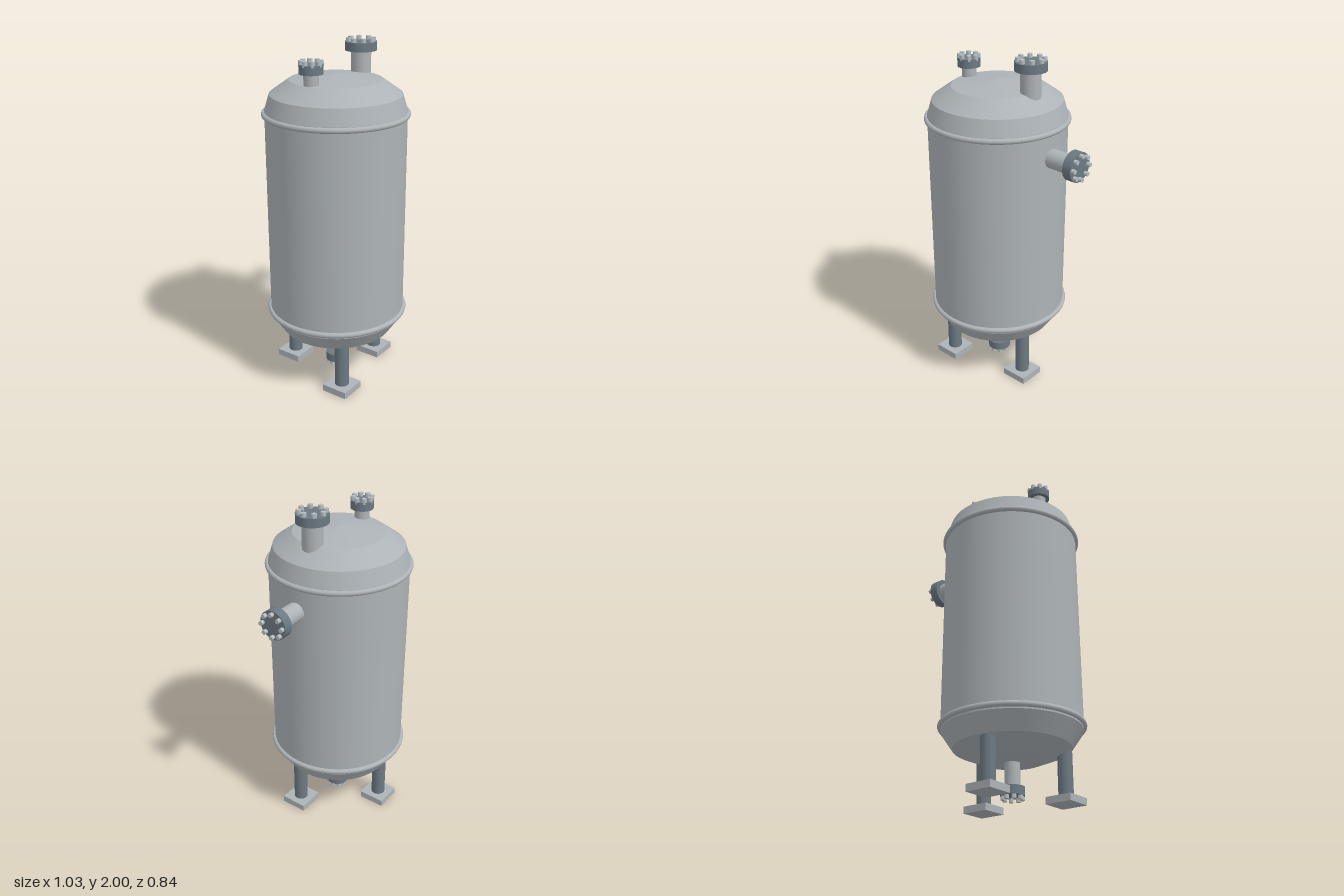
import * as THREE from 'three';

const material = (name, color) => {
  const m = new THREE.MeshStandardMaterial({ color });
  m.name = name;
  return m;
};

export function createModel() {
  const shellGrey = material('shellGrey', 0xadb3b7);
  const darkSteel = material('darkSteel', 0x6c7982);
  const boltSteel = material('boltSteel', 0xb6bec3);
  const AXIS_X = -0.097;

  const model = new THREE.Group();
  model.name = 'pressureVessel';

  const add = (parent, name, geometry, mat, x = 0, y = 0, z = 0) => {
    const mesh = new THREE.Mesh(geometry, mat);
    mesh.name = name;
    mesh.position.set(x, y, z);
    parent.add(mesh);
    return mesh;
  };

  // Shell: one lathe per band, listed bottom to top, so the edges stay crisp
  const vessel = new THREE.Group();
  vessel.name = 'vessel';
  vessel.position.x = AXIS_X;
  model.add(vessel);
  const band = (name, [r0, y0], [r1, y1]) => add(vessel, name,
    new THREE.LatheGeometry([new THREE.Vector2(r0, y0), new THREE.Vector2(r1, y1)], 48), shellGrey);
  const bands = (name, profile) => {
    for (let i = 1; i < profile.length; i++) band(name, profile[i - 1], profile[i]);
  };
  bands('bottomHead', [[0, 0.222], [0.18, 0.236], [0.333, 0.3], [0.4, 0.4]]);
  band('body', [0.4, 0.4], [0.4, 1.632]);
  bands('topHead', [[0.4, 1.632], [0.372, 1.725], [0.262, 1.803], [0, 1.832]]);

  // Weld rings where the heads meet the body
  for (const y of [0.425, 1.615]) {
    const ring = new THREE.TorusGeometry(0.402, 0.016, 12, 64);
    add(vessel, 'weldRing', ring.rotateX(Math.PI / 2), shellGrey, 0, y, 0);
  }

  // Flanged nozzle, built along +y from its root inside the shell
  const nozzle = (name, { length, pipe, flange, circle, bolt, thick = 0.05 }) => {
    const group = new THREE.Group();
    group.name = name;
    const boltHeight = 0.022;
    const top = length - boltHeight;
    const pipeLength = top - thick / 2;
    add(group, 'pipe', new THREE.CylinderGeometry(pipe, pipe, pipeLength, 32), shellGrey, 0, pipeLength / 2);
    add(group, 'flange', new THREE.CylinderGeometry(flange, flange, thick, 32), darkSteel, 0, top - thick / 2);
    const boltGeometry = new THREE.CylinderGeometry(bolt, bolt, boltHeight + 0.01, 10);
    for (let i = 0; i < 8; i++) {
      const a = (i * Math.PI) / 4;
      add(group, 'bolt', boltGeometry, boltSteel,
        Math.cos(a) * circle, top + boltHeight / 2 - 0.005, Math.sin(a) * circle);
    }
    model.add(group);
    return group;
  };

  nozzle('largeTopNozzle', { length: 0.28, pipe: 0.058, flange: 0.091, circle: 0.072, bolt: 0.0145 })
    .position.set(0.145, 1.72, 0);
  nozzle('smallTopNozzle', { length: 0.197, pipe: 0.042, flange: 0.066, circle: 0.053, bolt: 0.0145 })
    .position.set(-0.317, 1.74, 0);

  const side = nozzle('sideNozzle', { length: 0.255, pipe: 0.055, flange: 0.085, circle: 0.067, bolt: 0.013, thick: 0.053 });
  side.position.set(0.26, 1.465, 0);
  side.rotation.z = -Math.PI / 2;

  const drain = nozzle('drainNozzle', { length: 0.23, pipe: 0.043, flange: 0.068, circle: 0.053, bolt: 0.0135 });
  drain.position.set(AXIS_X, 0.25, 0);
  drain.rotation.x = Math.PI;

  // Three legs on square foot plates
  for (let i = 0; i < 3; i++) {
    const a = 0.32 + (i * Math.PI * 2) / 3;
    const leg = new THREE.Group();
    leg.name = 'supportLeg';
    leg.position.set(AXIS_X + Math.cos(a) * 0.29, 0, Math.sin(a) * 0.29);
    add(leg, 'legPost', new THREE.CylinderGeometry(0.042, 0.042, 0.28, 24), darkSteel, 0, 0.17);
    add(leg, 'footPlate', new THREE.BoxGeometry(0.16, 0.04, 0.16), shellGrey, 0, 0.02);
    model.add(leg);
  }

  return model;
}
